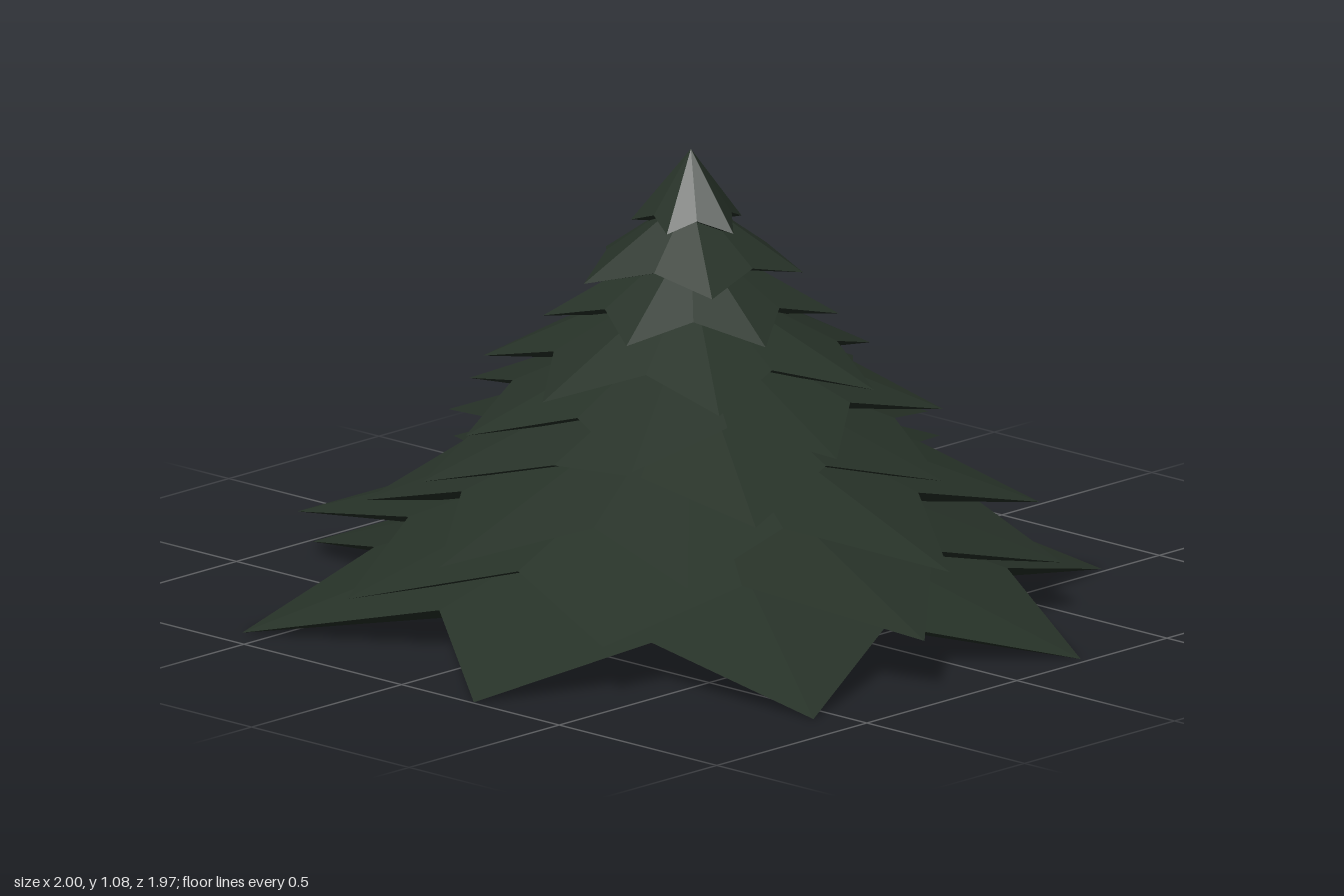
import * as THREE from 'three';

// One entry per tier, bottom to top: tip height, cone height, corner count,
// angle of the first tip (degrees from +x towards +z) and reach of each tip.
const TIERS = [
  { y: 0.0, h: 0.34, n: 16, a: -14, tips: [1.05, 0.98, 1.03, 1.06, 1.01, 1.07, 1.0, 0.94] },
  { y: 0.12, h: 0.32, n: 15, a: -42, tips: [0.9, 0.9, 0.86, 0.95, 0.86, 0.9, 0.96] },
  { y: 0.235, h: 0.3, n: 16, a: 2, tips: [0.8, 0.8, 0.85, 0.75, 0.81, 0.75, 0.78, 0.77] },
  { y: 0.345, h: 0.27, n: 13, a: -154, tips: [0.66, 0.68, 0.67, 0.66, 0.62, 0.64] },
  { y: 0.457, h: 0.24, n: 14, a: -4, tips: [0.585, 0.58, 0.55, 0.57, 0.57, 0.57, 0.56] },
  { y: 0.57, h: 0.22, n: 14, a: 180, tips: [0.495, 0.48, 0.45, 0.44, 0.44, 0.49, 0.48] },
  { y: 0.68, h: 0.2, n: 12, a: -15, tips: [0.31, 0.34, 0.33, 0.31, 0.34, 0.3] },
  { y: 0.79, h: 0.18, n: 10, a: -90, tips: [0.27, 0.28, 0.26, 0.27, 0.28] },
  { y: 0.9, h: 0.175, n: 10, a: 20, tips: [0.13, 0.14, 0.12, 0.14, 0.13] },
];

// Star-shaped cone with raised notches between the tips and a closed underside
function starTier({ y, h, n, a, tips }, index) {
  const mean = tips.reduce((s, r) => s + r, 0) / tips.length;
  const lift = 0.1 - index * 0.009;
  const ring = [];
  for (let i = 0; i < n; i++) {
    const angle = THREE.MathUtils.degToRad(a + (i * 360) / n);
    const isTip = i % 2 === 0 && i / 2 < tips.length;
    const r = isTip ? tips[i / 2] : mean * 0.72;
    ring.push([Math.cos(angle) * r, isTip ? y : y + lift, Math.sin(angle) * r]);
  }
  const apex = [0, y + h, 0];
  const base = [0, y, 0];
  const points = [];
  for (let i = 0; i < n; i++) {
    const p = ring[i], q = ring[(i + 1) % n];
    points.push(...apex, ...q, ...p); // upper face
    points.push(...base, ...p, ...q); // under face
  }
  const geometry = new THREE.BufferGeometry();
  geometry.setAttribute('position', new THREE.Float32BufferAttribute(points, 3));
  geometry.computeVertexNormals();
  return geometry;
}

export function createModel() {
  const group = new THREE.Group();
  group.name = 'firTree';
  const needles = new THREE.MeshStandardMaterial({ color: 0x273228 });
  needles.name = 'darkGreenNeedles';

  // Stacked branch tiers, the trunk axis slightly off centre
  TIERS.forEach((tier, i) => {
    const mesh = new THREE.Mesh(starTier(tier, i), needles);
    mesh.name = `branchTier${i + 1}`;
    mesh.position.set(-0.015, 0, -0.02);
    group.add(mesh);
  });
  return group;
}
